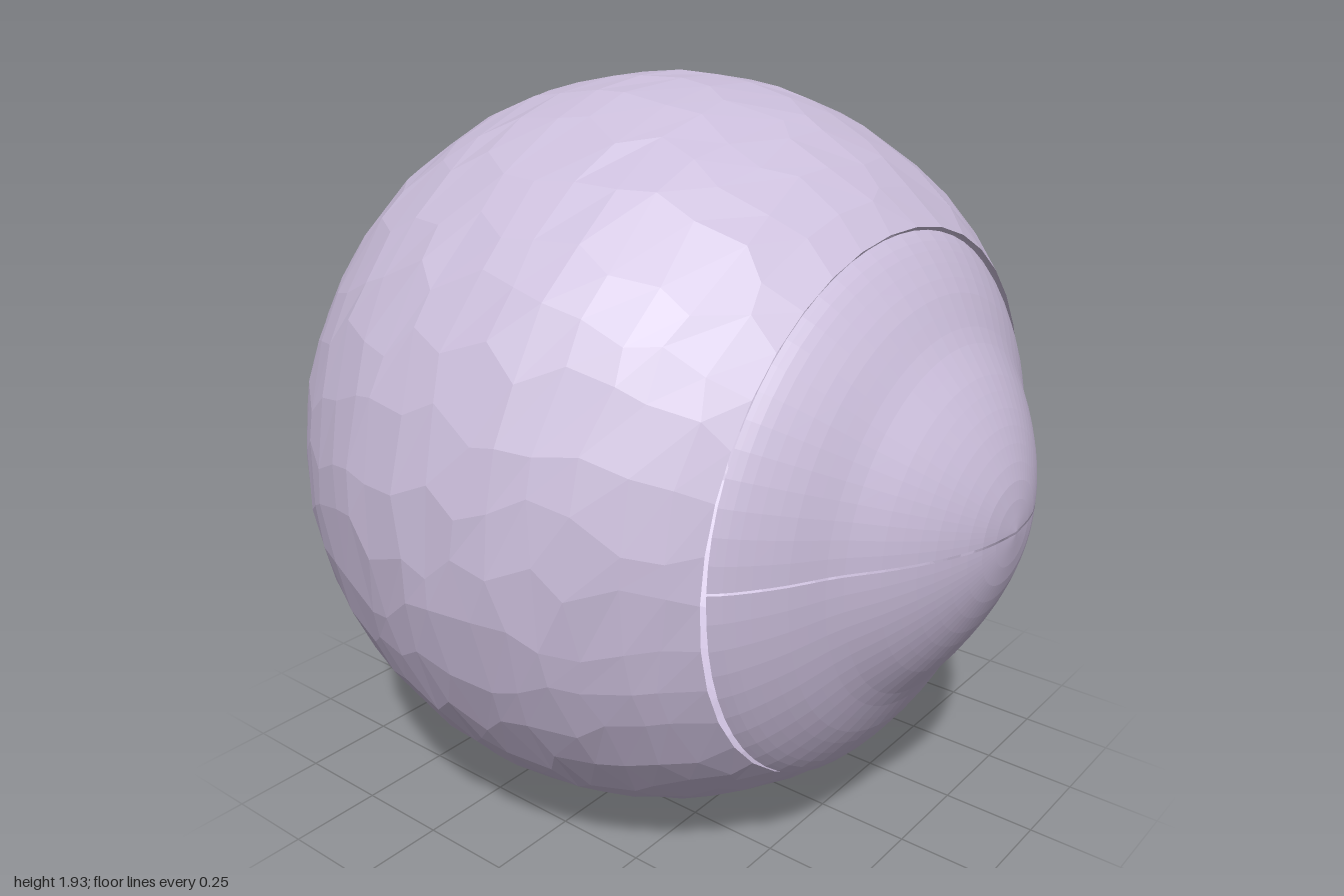
import * as THREE from 'three';

const CENTER = new THREE.Vector3(0, 0.97, -0.035);
const RADIUS = 0.965;
const SIDES = 38;

// Small repeatable variation in -1..1
const wobble = (i, j) => {
  const s = Math.sin(i * 127.1 + (j % SIDES) * 311.7) * 43758.5453;
  return 2 * (s - Math.floor(s)) - 1;
};

// Faceted globe: circles that grow from the small rear pit to the front rim,
// their axis swinging from the pit's direction to the rim's direction
function globeGeometry() {
  const pitAxis = new THREE.Vector3(0, -0.23, -0.97).normalize();
  const rimAxis = new THREE.Vector3(0.03, 0.037, -1).normalize();
  const rings = [[0, 0.9], [0.045, 0.9], [0.052, RADIUS]];
  const steps = 24, rimAngle = 2.345;
  for (let i = 1; i <= steps; i++) rings.push([0.052 + (rimAngle - 0.052) * i / steps, RADIUS]);

  const positions = [], indices = [];
  rings.forEach(([angle, radius], i) => {
    const w = pitAxis.clone().lerp(rimAxis, angle / rimAngle).normalize();
    const u = new THREE.Vector3(1, 0, 0).addScaledVector(w, -w.x).normalize();
    const v = w.clone().cross(u);
    const free = i > 3 && i < rings.length - 1;
    for (let j = 0; j <= SIDES; j++) {
      const shift = free ? 0.3 * wobble(i + 50, j) : 0;
      const phi = (j + shift) / SIDES * Math.PI * 2;
      const a = angle + (free ? 0.022 * wobble(i + 90, j) : 0);
      const r = radius + (free ? 0.003 * wobble(i, j) : 0);
      const p = CENTER.clone()
        .addScaledVector(w, r * Math.cos(a))
        .addScaledVector(u, r * Math.sin(a) * Math.cos(phi))
        .addScaledVector(v, r * Math.sin(a) * Math.sin(phi));
      positions.push(p.x, p.y, p.z);
      if (i < rings.length - 1 && j < SIDES) {
        const A = i * (SIDES + 1) + j, B = A + SIDES + 1;
        indices.push(A, B, B + 1, A, B + 1, A + 1);
      }
    }
  });
  const geometry = new THREE.BufferGeometry();
  geometry.setAttribute('position', new THREE.Float32BufferAttribute(positions, 3));
  geometry.setIndex(indices);
  geometry.computeVertexNormals();
  return geometry;
}

// Half of the front bulge; side is 1 for the upper half, -1 for the lower
function bulgeGeometry(side) {
  const profile = new THREE.SplineCurve([
    [0.69, 0.635], [0.65, 0.675], [0.56, 0.74], [0.45, 0.802],
    [0.35, 0.872], [0.24, 0.935], [0.12, 0.982], [0, 1],
  ].map(([r, z]) => new THREE.Vector2(r, z))).getPoints(20);
  profile[20].x = 0;
  const geometry = new THREE.LatheGeometry(profile, 32, side * Math.PI / 2, Math.PI);
  geometry.rotateX(Math.PI / 2);
  const pos = geometry.attributes.position;
  const stretch = side > 0 ? 0.93 : 1.04;
  for (let i = 0; i < pos.count; i++) {
    const y = pos.getY(i) * stretch;
    pos.setXYZ(i, pos.getX(i) - 0.02, 0.978 + y + side * 0.003, pos.getZ(i) + 0.025 * y);
  }
  geometry.computeVertexNormals();
  return geometry;
}

export function createModel() {
  const group = new THREE.Group();
  group.name = 'eyeball';
  const lilac = new THREE.MeshStandardMaterial({ color: 0xcbbedb, side: THREE.DoubleSide });
  lilac.name = 'pale lilac';
  lilac.flatShading = true;

  const add = (name, geometry) => {
    const mesh = new THREE.Mesh(geometry, lilac);
    mesh.name = name;
    group.add(mesh);
  };
  add('globe', globeGeometry());
  add('upperBulge', bulgeGeometry(1));
  add('lowerBulge', bulgeGeometry(-1));
  return group;
}
